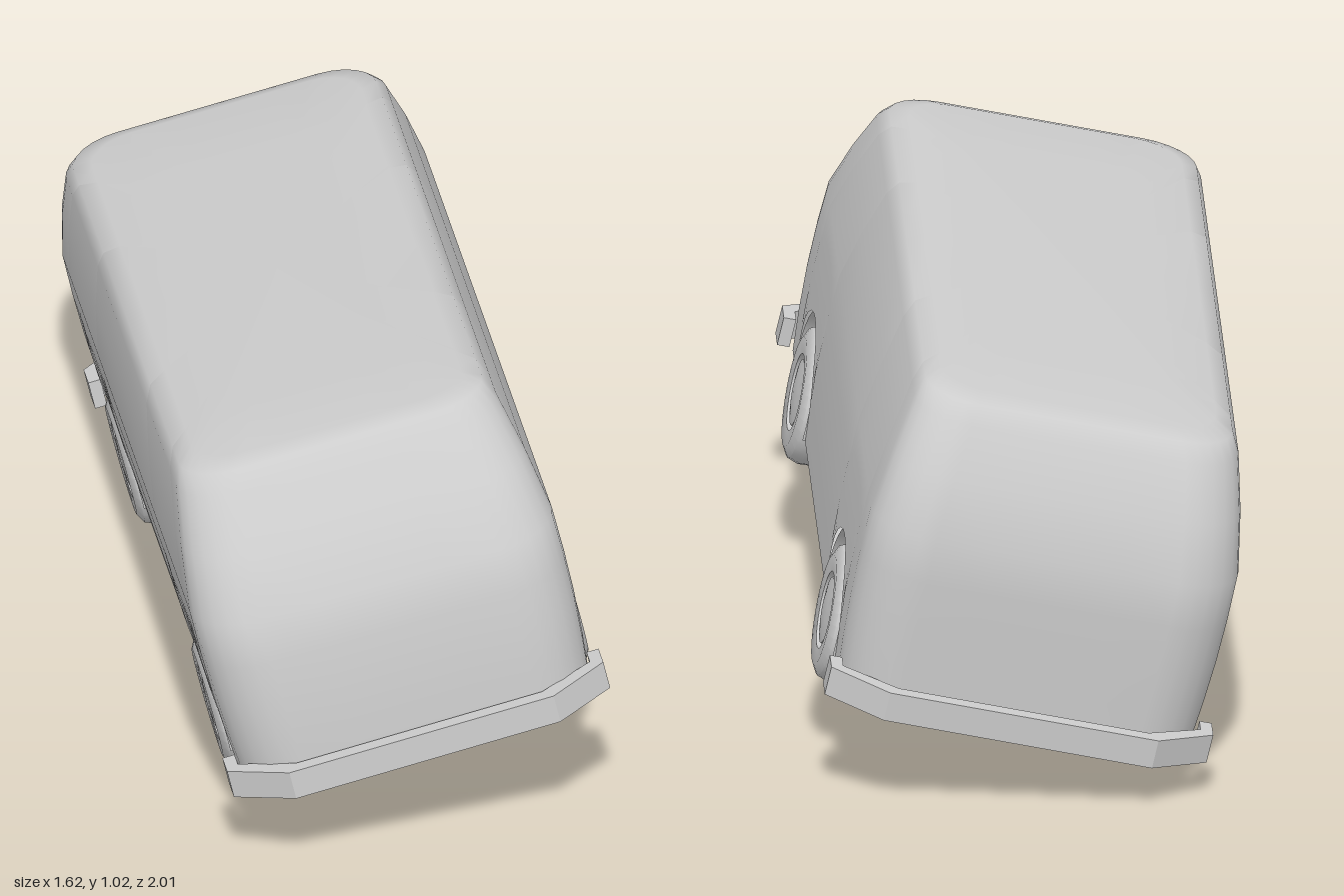
import * as THREE from 'three';
import { toCreasedNormals } from 'three/addons/utils/BufferGeometryUtils.js';

const FLOOR = -0.03, BELT = 0.375, ARCH = 0.18, AXLE = 0.545, WELL = 0.24;
const FRONT = 0.945, REAR = 0.93;

// Body sections by height: [height, half width, front reach, rear reach]
const SECTIONS = [
  [-0.03, 0.388, 0.945, 0.93], [0.12, 0.401, 0.945, 0.93], [0.25, 0.405, 0.935, 0.93],
  [0.375, 0.404, 0.915, 0.925], [0.5, 0.383, 0.84, 0.88], [0.61, 0.357, 0.768, 0.82],
  [0.645, 0.338, 0.735, 0.785], [0.66, 0.3, 0.695, 0.74],
];
// Roof crown rings closing towards the middle
const CROWN = [[0.665, 0.2, 0.5, 0.53], [0.669, 0.08, 0.2, 0.2], [0.67, 0, 0, 0]];

function sectionAt(h) {
  let i = 0;
  while (i < SECTIONS.length - 2 && h > SECTIONS[i + 1][0]) i++;
  const s = SECTIONS[i], e = SECTIONS[i + 1];
  const t = (h - s[0]) / (e[0] - s[0]);
  return s.map((v, k) => v + (e[k] - v) * t);
}

// Plan outline as columns: p = share of half width, q = share of reach, low = lower edge height
function outline() {
  const half = [];
  const add = (p, q, low = FLOOR) => half.push({ p, q, low });
  const corner = (end) => {
    for (let i = 0; i <= 6; i++) {
      const t = (end > 0 ? i : 6 - i) / 6 * Math.PI / 2;
      add(0.66 + 0.34 * Math.sin(t), end * (0.87 + 0.13 * Math.cos(t)));
    }
  };
  const arch = (centre) => {
    const reach = centre > 0 ? FRONT : REAR;
    add(1, (centre + ARCH + 0.0005) / reach);
    for (let i = 0; i <= 14; i++) {
      const t = i / 14 * Math.PI;
      add(1, (centre + ARCH * Math.cos(t)) / reach, ARCH * Math.sin(t));
    }
    add(1, (centre - ARCH - 0.0005) / reach);
  };
  add(0, 1);
  add(0.35, 1);
  corner(1);
  arch(AXLE);
  add(1, 0);
  arch(-AXLE);
  corner(-1);
  add(0.35, -1);
  add(0, -1);
  const other = half.slice(1, -1).reverse().map((c) => ({ ...c, p: -c.p }));
  return half.concat(other);
}

const place = (col, s) => [col.p * s[1], s[0], col.q * (col.q > 0 ? s[2] : s[3])];

// Smooth shell lofted from the sections, with the lower edge following the wheel arches
function shellGeometry(cols) {
  const pos = [], index = [], n = cols.length;
  const rings = [];
  for (let k = 0; k <= 4; k++) rings.push((c) => sectionAt(c.low + (BELT - c.low) * k / 4));
  SECTIONS.slice(4).concat(CROWN).forEach((s) => rings.push(() => s));
  rings.forEach((ring) => cols.forEach((c) => pos.push(...place(c, ring(c)))));
  for (let k = 0; k < rings.length - 1; k++) {
    for (let i = 0; i < n; i++) {
      const a = k * n + i, b = k * n + (i + 1) % n;
      index.push(a, b, a + n);
      if (k < rings.length - 2) index.push(b, b + n, a + n);
    }
  }
  const g = new THREE.BufferGeometry();
  g.setAttribute('position', new THREE.Float32BufferAttribute(pos, 3));
  g.setIndex(index);
  g.computeVertexNormals();
  return g;
}

// Flat underside with notches for the wheels
function floorGeometry(cols) {
  const pts = cols.map((c) => {
    const [x, , z] = place(c, SECTIONS[0]);
    return new THREE.Vector2(c.low > FLOOR ? Math.sign(x) * WELL : x, z);
  });
  return new THREE.ShapeGeometry(new THREE.Shape(pts)).rotateX(Math.PI / 2).translate(0, FLOOR, 0);
}

// Bumper bar wrapping around the corners
function bumperGeometry() {
  const outer = [[0.42, 0.845], [0.42, 0.905], [0.295, 0.985]];
  const inner = [[0.275, 0.953], [0.393, 0.887], [0.393, 0.845]];
  const flip = (list) => list.map(([x, z]) => [-x, z]).reverse();
  const pts = [...outer, ...flip(outer), ...flip(inner), ...inner].map((p) => new THREE.Vector2(...p));
  return new THREE.ExtrudeGeometry(new THREE.Shape(pts), { depth: 0.066, bevelEnabled: false })
    .rotateX(Math.PI / 2).translate(0, 0.032, 0);
}

// Tyre and hubcap in one turned profile
function wheelGeometry() {
  const profile = [
    [0, -0.05], [0.11, -0.05], [0.138, -0.042], [0.15, -0.02], [0.151, 0.015], [0.142, 0.038],
    [0.12, 0.05], [0.084, 0.047], [0.081, 0.036], [0.075, 0.036], [0.072, 0.044], [0.04, 0.049], [0, 0.051],
  ].map((p) => new THREE.Vector2(...p));
  return toCreasedNormals(new THREE.LatheGeometry(profile, 32), 0.7);
}

export function createModel() {
  const grey = new THREE.MeshStandardMaterial({ color: 0xcccccc, side: THREE.DoubleSide });
  grey.name = 'light grey';
  const van = new THREE.Group();
  van.name = 'van';
  const add = (geometry, name) => {
    const m = new THREE.Mesh(geometry, grey);
    m.name = name;
    van.add(m);
    return m;
  };

  const cols = outline();
  add(shellGeometry(cols), 'bodyShell');
  add(floorGeometry(cols), 'underside');

  const bumper = bumperGeometry();
  add(bumper, 'frontBumper');
  add(bumper, 'rearBumper').rotation.y = Math.PI;

  // Wheels and wheel wells
  const wheel = wheelGeometry();
  const depth = 0.394 - WELL;
  const liner = new THREE.CylinderGeometry(ARCH, ARCH, depth, 16, 1, true, -0.16, Math.PI + 0.32)
    .rotateZ(Math.PI / 2);
  const wallShape = new THREE.Shape();
  wallShape.absarc(0, 0, ARCH, -0.16, Math.PI + 0.16, false);
  const wall = new THREE.ShapeGeometry(wallShape, 16).rotateY(Math.PI / 2);
  for (const [side, sideName] of [[1, 'Left'], [-1, 'Right']]) {
    for (const [end, endName] of [[1, 'front'], [-1, 'rear']]) {
      const z = end * AXLE;
      const w = add(wheel, endName + sideName + 'Wheel');
      w.position.set(side * 0.358, 0, z);
      w.rotation.z = -side * Math.PI / 2;
      add(liner, endName + sideName + 'WheelWell').position.set(side * (WELL + depth / 2), 0, z);
      const inner = add(wall, endName + sideName + 'WellWall');
      inner.position.set(side * WELL, 0, z);
      inner.rotation.y = side > 0 ? 0 : Math.PI;
    }
  }

  // The whole van stands turned and tilted
  const forward = new THREE.Vector3(0.4795, 0.0706, 0.8747).normalize();
  const up = forward.clone().cross(new THREE.Vector3(0.849, 0.215, -0.483)).normalize();
  const left = up.clone().cross(forward);
  van.applyMatrix4(new THREE.Matrix4().makeBasis(left, up, forward).setPosition(0.025, 0.278, 0.0025));

  const model = new THREE.Group();
  model.name = 'model';
  model.add(van);
  return model;
}
